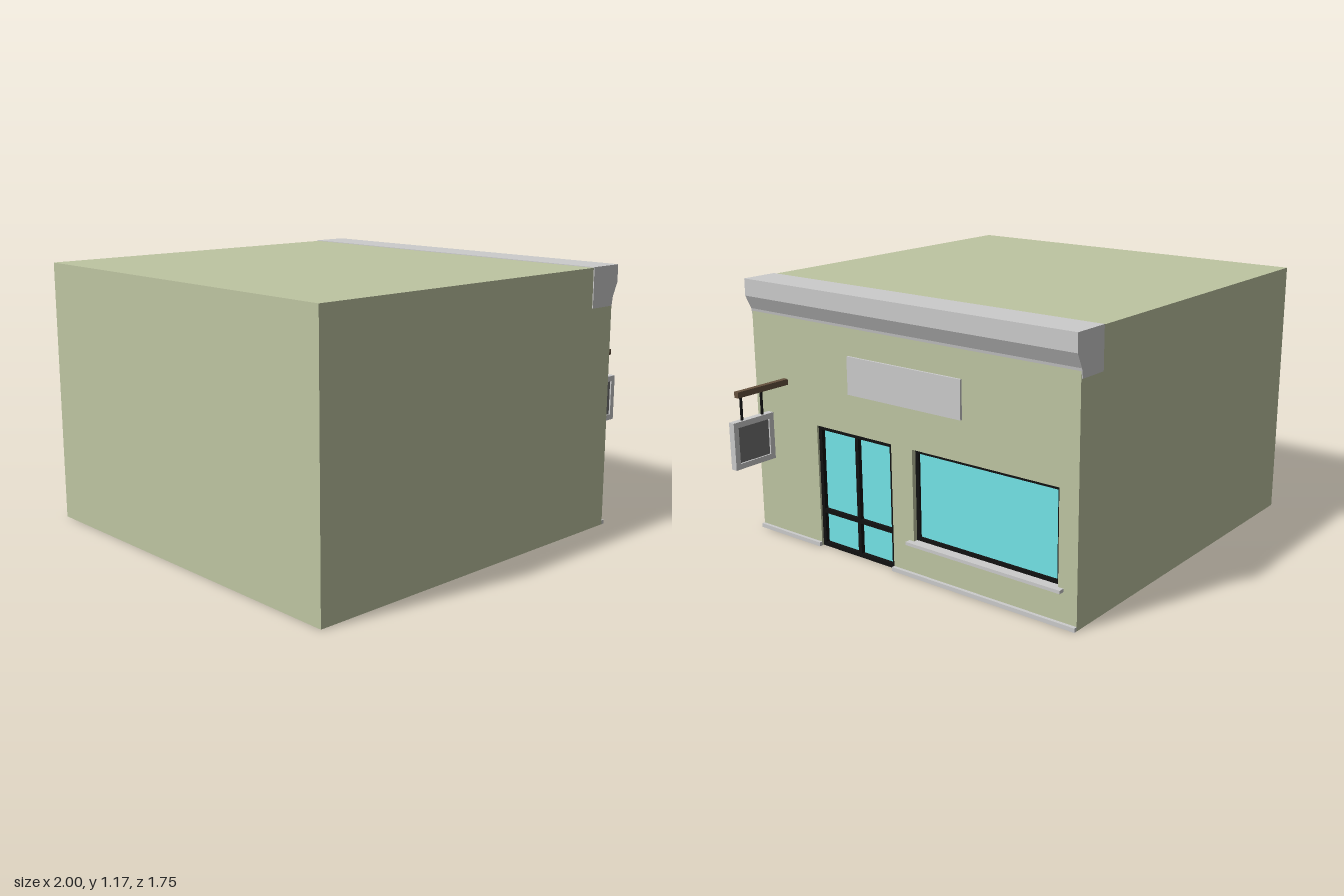
import * as THREE from 'three';

const mat = (color) => new THREE.MeshStandardMaterial({ color });

export function createModel() {
  const model = new THREE.Group();
  const grey = mat(0xcccccc), wall = mat(0xbec5a2), black = mat(0x111111);
  const glass = mat(0x74e5e8), wood = mat(0x66523f), dark = mat(0x727272);

  // Box given by its limits on each axis
  const box = (name, material, [x0, x1], [y0, y1], [z0, z1], parent = model) => {
    const mesh = new THREE.Mesh(new THREE.BoxGeometry(x1 - x0, y1 - y0, z1 - z0), material);
    mesh.position.set((x0 + x1) / 2, (y0 + y1) / 2, (z0 + z1) / 2);
    mesh.name = name;
    parent.add(mesh);
    return mesh;
  };
  const rect = (Type, x0, x1, y0, y1) => new Type([
    new THREE.Vector2(x0, y0), new THREE.Vector2(x1, y0),
    new THREE.Vector2(x1, y1), new THREE.Vector2(x0, y1)]);
  const extrude = (name, material, shape, depth) => {
    const mesh = new THREE.Mesh(new THREE.ExtrudeGeometry(shape, { depth, bevelEnabled: false }), material);
    mesh.name = name;
    model.add(mesh);
    return mesh;
  };

  const half = 0.873, faceX = 0.685, backX = 0.65, top = 1.163;
  const door = { z0: 0.06, z1: 0.495, y0: 0, y1: 0.56 };
  const win = { z0: -0.785, z1: -0.055, y0: 0.158, y1: 0.56 };

  // Building block and the pierced shopfront wall on its +x side
  box('building', wall, [-1, backX], [0, top], [-half, half]);
  const front = new THREE.Shape([
    [-half, 0], [-door.z1, 0], [-door.z1, door.y1], [-door.z0, door.y1],
    [-door.z0, 0], [half, 0], [half, top], [-half, top],
  ].map(([a, b]) => new THREE.Vector2(a, b)));
  front.holes.push(rect(THREE.Path, -win.z1, -win.z0, win.y0, win.y1));
  const shopWall = extrude('shopfrontWall', wall, front, faceX - backX);
  shopWall.rotation.y = Math.PI / 2;
  shopWall.position.x = backX;

  // Glazing with a black frame set into an opening
  const glazing = (name, o, frameX, bars) => {
    const group = new THREE.Group();
    group.name = name;
    model.add(group);
    const w = 0.018, depth = [backX, frameX];
    box(name + 'Glass', glass, [backX, backX + 0.006], [o.y0 + w, o.y1 - w], [o.z0 + w, o.z1 - w], group);
    for (const z of [o.z0, o.z1 - w]) box(name + 'Jamb', black, depth, [o.y0, o.y1], [z, z + w], group);
    for (const y of [o.y0, o.y1 - w]) box(name + 'Rail', black, depth, [y, y + w], [o.z0 + w, o.z1 - w], group);
    if (bars) {
      box(name + 'Mullion', black, depth, [o.y0 + w, o.y1 - w], [0.26, 0.278], group);
      box(name + 'MiddleRail', black, depth, [0.158, 0.176], [o.z0 + w, o.z1 - w], group);
    }
  };
  glazing('door', door, 0.675, true);
  glazing('window', win, 0.665, false);

  // Window sill, base strips beside the door, and blank fascia panel
  box('windowSill', grey, [backX, 0.71], [0.145, 0.159], [-0.81, -0.03]);
  box('baseStrip', grey, [faceX, 0.7], [0, 0.018], [-half, door.z0]);
  box('baseStrip', grey, [faceX, 0.7], [0, 0.018], [door.z1, half]);
  box('fasciaPanel', grey, [faceX, 0.695], [0.735, 0.9], [-0.32, 0.29]);

  // Cornice profile run along the top of the shopfront
  const profile = new THREE.Shape([
    [0.545, 0.99], [0.68, 0.99], [0.687, 1.03], [0.716, 1.09], [0.716, 1.166], [0.545, 1.166],
  ].map(([a, b]) => new THREE.Vector2(a, b)));
  extrude('cornice', grey, profile, 1.754).position.z = -0.877;

  // Hanging sign on a wooden bracket
  box('signBracket', wood, [faceX, 0.965], [0.714, 0.74], [0.666, 0.69]);
  for (const x of [0.83, 0.942]) {
    const rod = new THREE.Mesh(new THREE.CylinderGeometry(0.006, 0.006, 0.11, 8), black);
    rod.position.set(x, 0.662, 0.678);
    rod.name = 'signRod';
    model.add(rod);
  }
  const frame = rect(THREE.Shape, 0.78, 1, 0.403, 0.612);
  frame.holes.push(rect(THREE.Path, 0.805, 0.975, 0.428, 0.587));
  extrude('hangingSignFrame', grey, frame, 0.03).position.z = 0.663;
  box('hangingSignPanel', dark, [0.805, 0.975], [0.428, 0.587], [0.67, 0.686]);

  return model;
}
